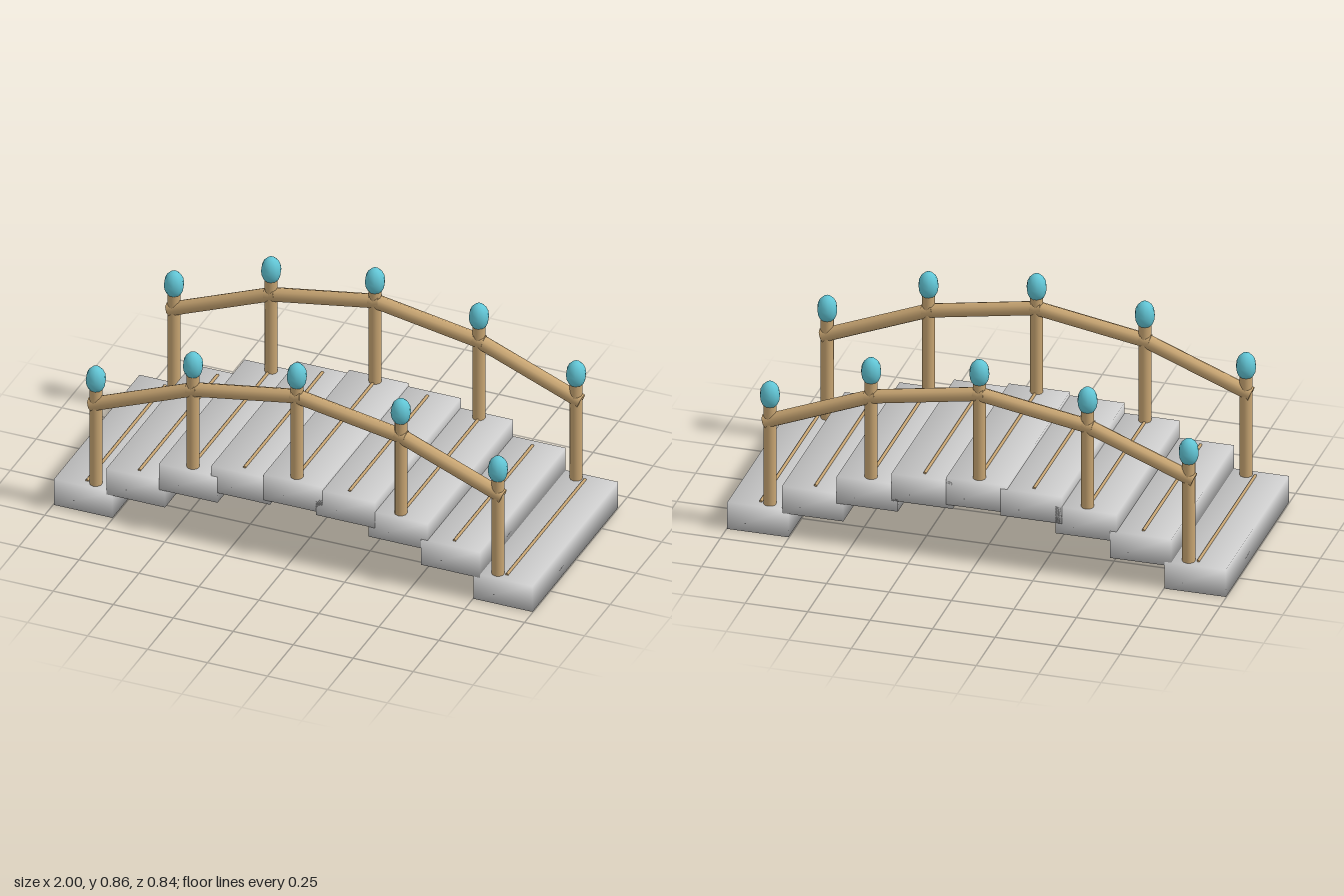
import * as THREE from 'three';
import { mergeVertices } from 'three/addons/utils/BufferGeometryUtils.js';

const stone = new THREE.MeshStandardMaterial({ color: 0xcccccc });
const wood = new THREE.MeshStandardMaterial({ color: 0xc9a673 });
const glass = new THREE.MeshStandardMaterial({ color: 0x62c6d6 });

// Box with shared corners, so its shading runs softly round the edges
function softBox(w, h, d) {
  const box = new THREE.BoxGeometry(w, h, d);
  box.deleteAttribute('normal');
  box.deleteAttribute('uv');
  const geometry = mergeVertices(box);
  geometry.computeVertexNormals();
  return geometry;
}

// Round bar between two points, run on past both ends by a given amount
function bar(name, a, b, radius, sides, extra = 0) {
  const direction = b.clone().sub(a);
  const geometry = new THREE.CylinderGeometry(radius, radius, direction.length() + 2 * extra, sides);
  const mesh = new THREE.Mesh(geometry, wood);
  mesh.name = name;
  mesh.position.copy(a).add(b).multiplyScalar(0.5);
  mesh.quaternion.setFromUnitVectors(new THREE.Vector3(0, 1, 0), direction.normalize());
  return mesh;
}

export function createModel() {
  const model = new THREE.Group();
  model.name = 'archedFootbridge';
  const V = (x, y, z) => new THREE.Vector3(x, y, z);

  // Stone steps rising to the middle, each with a thin rod across its top
  const slabHeight = 0.115;
  const slabTops = [0.348, 0.333, 0.289, 0.215, 0.115];
  const slabGeometry = softBox(0.245, slabHeight, 0.834);
  for (let i = -4; i <= 4; i++) {
    const x = i * 0.2188;
    const top = slabTops[Math.abs(i)];
    const slab = new THREE.Mesh(slabGeometry, stone);
    slab.name = 'stepSlab';
    slab.position.set(x, top - slabHeight / 2, 0);
    model.add(slab, bar('stepRod', V(x, top + 0.002, -0.38), V(x, top + 0.002, 0.38), 0.006, 6));
  }

  // Railings: posts with egg-shaped finials, joined by straight handrail lengths
  const posts = [
    { x: -0.838, base: 0.11, rail: 0.473 },
    { x: -0.433, base: 0.28, rail: 0.634 },
    { x: 0, base: 0.34, rail: 0.708 },
    { x: 0.433, base: 0.28, rail: 0.634 },
    { x: 0.838, base: 0.11, rail: 0.473 },
  ];
  const finialGeometry = new THREE.SphereGeometry(1, 10, 8).scale(0.04, 0.057, 0.04);
  for (const z of [-0.38, 0.38]) {
    const railing = new THREE.Group();
    railing.name = z > 0 ? 'frontRailing' : 'backRailing';
    posts.forEach((p, i) => {
      const finialY = p.rail + (p.x === 0 ? 0.083 : 0.102);
      railing.add(bar('post', V(p.x, p.base, z), V(p.x, finialY, z), 0.025, 10));
      const finial = new THREE.Mesh(finialGeometry, glass);
      finial.name = 'finial';
      finial.position.set(p.x, finialY + 0.007, z);
      railing.add(finial);
      if (i > 0) {
        const q = posts[i - 1];
        railing.add(bar('handrail', V(q.x, q.rail, z), V(p.x, p.rail, z), 0.029, 8, 0.022));
      }
    });
    model.add(railing);
  }
  return model;
}
